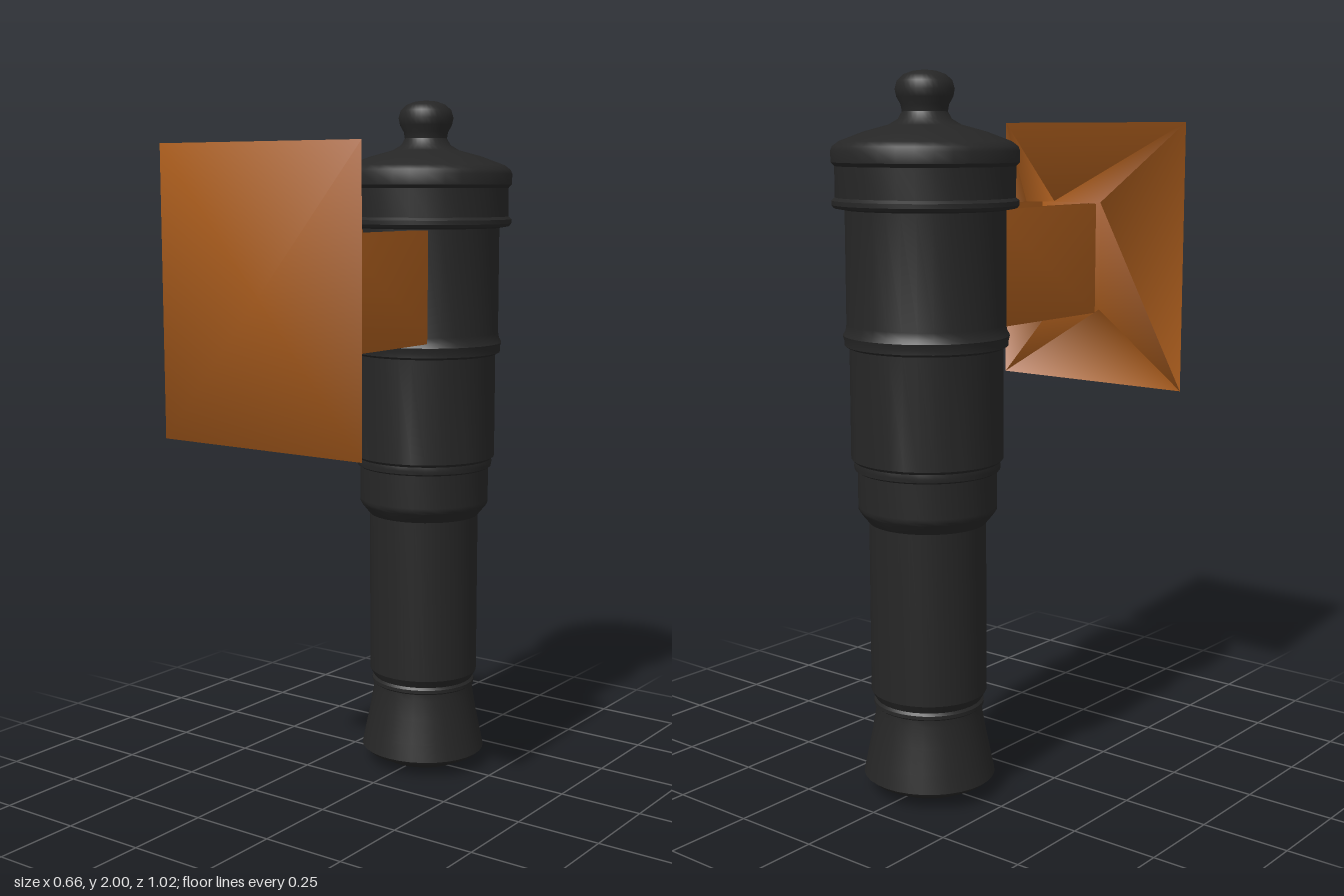
import * as THREE from 'three';
import { mergeVertices, toCreasedNormals } from 'three/addons/utils/BufferGeometryUtils.js';

const iron = new THREE.MeshStandardMaterial({ color: 0x262626 });
const copper = new THREE.MeshStandardMaterial({ color: 0xa65a1c });
const BARREL_Z = -0.263;

function part(name, geometry, material) {
  const mesh = new THREE.Mesh(geometry, material);
  mesh.name = name;
  return mesh;
}

// Share corners so that shading runs smoothly across faces
function smooth(geometry) {
  geometry.deleteAttribute('uv');
  geometry.deleteAttribute('normal');
  const g = mergeVertices(geometry);
  g.computeVertexNormals();
  return g;
}

// Turned profile [radius, height] from the muzzle up
function turned(profile) {
  const points = profile.map(([r, y]) => new THREE.Vector2(r, y));
  const g = toCreasedNormals(new THREE.LatheGeometry(points, 32), 0.6);
  g.scale(1.035, 1, 1);
  return g;
}

// Flared square mouth: square sections from front to back, closed by fans
function flaredMouth() {
  const cy = 1.472;
  const sections = [[0.33, 0.395, 0.51], [0.085, 0.16, 0.435], [0.085, 0.16, 0.375]];
  const corners = [[1, 1], [-1, 1], [-1, -1], [1, -1]];
  const pos = [], index = [];
  for (const [w, h, z] of sections)
    for (const [sx, sy] of corners) pos.push(sx * w, cy + sy * h, z);
  const front = pos.length / 3, back = front + 1;
  pos.push(0, cy, sections[0][2], 0, cy, sections[2][2]);
  for (let i = 0; i < 4; i++) {
    const j = (i + 1) % 4;
    index.push(front, i, j, back, 8 + j, 8 + i);
    for (let k = 0; k < 8; k += 4)
      index.push(k + i, k + 4 + i, k + j, k + j, k + 4 + i, k + 4 + j);
  }
  const g = new THREE.BufferGeometry();
  g.setAttribute('position', new THREE.Float32BufferAttribute(pos, 3));
  g.setIndex(index);
  g.computeVertexNormals();
  return g;
}

// Upright side plate with a bevelled front end, drawn in plan
function cheek(side) {
  const plan = [[0.085, -0.14], [0.125, -0.14], [0.125, 0.355], [0.085, 0.374]];
  const shape = new THREE.Shape(plan.map(([x, z]) => new THREE.Vector2(side * x, z)));
  const g = new THREE.ExtrudeGeometry(shape, { depth: 0.32, bevelEnabled: false });
  g.rotateX(Math.PI / 2);
  g.translate(0, 1.632, 0);
  return smooth(g);
}

export function createModel() {
  const model = new THREE.Group();
  model.name = 'cannon';

  const barrel = new THREE.Group();
  barrel.name = 'barrel';
  barrel.position.z = BARREL_Z;
  model.add(barrel);

  // Muzzle flare with stepped face
  barrel.add(part('muzzle', turned([
    [0, 0], [0.075, 0], [0.085, 0.005], [0.12, 0.012], [0.135, 0.025], [0.165, 0.035],
    [0.182, 0.05], [0.172, 0.1], [0.158, 0.17], [0.148, 0.23], [0.146, 0.25],
    [0.152, 0.255], [0.152, 0.265], [0.146, 0.272], [0.159, 0.295],
  ]), iron));

  // Stepped tube with its rings
  barrel.add(part('tube', turned([
    [0.159, 0.295], [0.159, 0.78], [0.183, 0.81], [0.188, 0.818], [0.188, 0.828],
    [0.188, 0.925], [0.196, 0.93], [0.198, 0.94], [0.196, 0.952], [0.205, 0.96],
    [0.205, 1.265], [0.218, 1.272], [0.218, 1.285], [0.222, 1.3], [0.215, 1.312],
    [0.212, 1.33], [0.212, 1.635],
  ]), iron));

  // Breech mouldings and dome
  barrel.add(part('breech', turned([
    [0.212, 1.635], [0.24, 1.64], [0.246, 1.648], [0.246, 1.66], [0.237, 1.668],
    [0.237, 1.75], [0.246, 1.76], [0.247, 1.79], [0.242, 1.802], [0.225, 1.815],
    [0.16, 1.84], [0.095, 1.858],
  ]), iron));

  // Knob on a waisted neck
  barrel.add(part('knob', turned([
    [0.095, 1.858], [0.07, 1.873], [0.06, 1.892], [0.063, 1.91], [0.074, 1.93],
    [0.078, 1.95], [0.072, 1.972], [0.055, 1.988], [0.03, 1.997], [0, 2],
  ]), iron));

  // Bracket carrying the flared plate
  const bracket = new THREE.Group();
  bracket.name = 'bracket';
  bracket.add(part('flaredPlate', flaredMouth(), copper));
  bracket.add(part('leftCheek', cheek(1), copper), part('rightCheek', cheek(-1), copper));
  model.add(bracket);

  return model;
}
